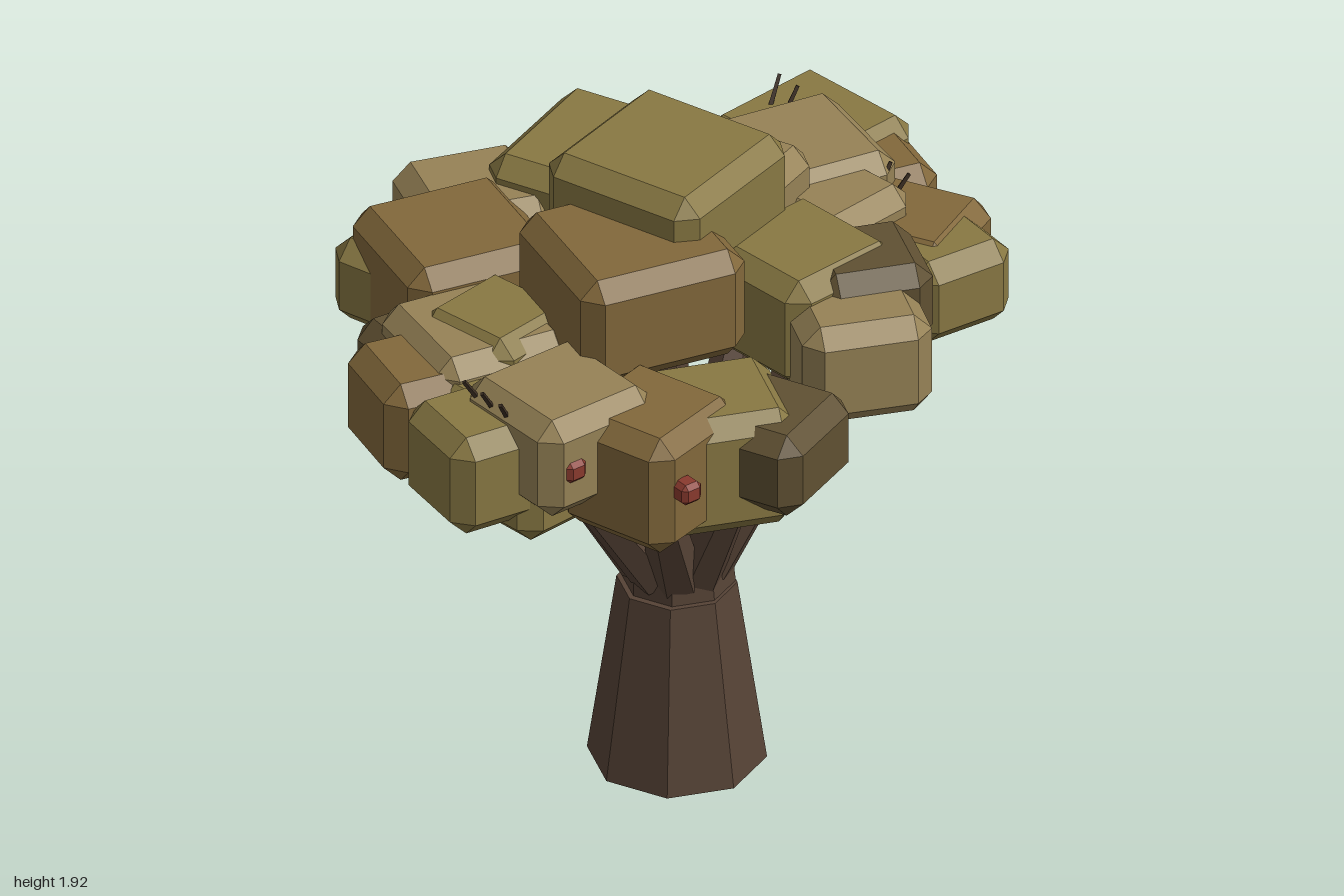
import * as THREE from 'three';
import { ConvexGeometry } from 'three/addons/geometries/ConvexGeometry.js';

const mat = (color) => new THREE.MeshStandardMaterial({ color, flatShading: true });
const BARK = mat(0x564336), TWIG = mat(0x3a2d22), BERRY = mat(0x8a3a2e);
const OLIVE = mat(0x887843), TAN = mat(0x968256), BROWN = mat(0x82683b), DARK = mat(0x5f5032);

// Box of half sizes w, h, d with every edge and corner cut off by c
function chamferedBox(w, h, d, c) {
  const pts = [];
  for (const x of [-1, 1]) for (const y of [-1, 1]) for (const z of [-1, 1]) {
    pts.push(
      new THREE.Vector3(x * w, y * (h - c), z * (d - c)),
      new THREE.Vector3(x * (w - c), y * h, z * (d - c)),
      new THREE.Vector3(x * (w - c), y * (h - c), z * d));
  }
  return new ConvexGeometry(pts);
}

// Tapered limb between two points
function limb(name, a, b, r0, r1, sides, material) {
  const from = new THREE.Vector3(...a), to = new THREE.Vector3(...b);
  const dir = to.clone().sub(from);
  const mesh = new THREE.Mesh(new THREE.CylinderGeometry(r1, r0, dir.length(), sides), material);
  mesh.position.copy(from).add(to).multiplyScalar(0.5);
  mesh.quaternion.setFromUnitVectors(new THREE.Vector3(0, 1, 0), dir.normalize());
  mesh.name = name;
  return mesh;
}

// One tier of square leaf blocks with a shared thickness.
// Each block: material, centre x, centre z, top, half width, turn
function leafTier(name, thickness, blocks) {
  const tier = new THREE.Group();
  tier.name = name;
  for (const [material, x, z, top, half, turn] of blocks) {
    const block = new THREE.Mesh(chamferedBox(half, thickness / 2, half, 0.052), material);
    block.position.set(x, top - thickness / 2, z);
    block.rotation.y = turn;
    block.name = 'leafBlock';
    tier.add(block);
  }
  return tier;
}

export function createModel() {
  const tree = new THREE.Group();
  tree.name = 'tree';

  // Trunk, collar and the thick centre branch
  tree.add(limb('trunk', [-0.005, 0, 0.047], [-0.005, 0.56, 0.047], 0.25, 0.168, 8, BARK));
  tree.add(limb('trunkCollar', [0.004, 0.55, 0.042], [0, 0.66, 0.042], 0.16, 0.152, 8, BARK));
  tree.add(limb('centreBranch', [-0.02, 0.6, 0.03], [-0.05, 1.5, 0], 0.11, 0.075, 6, BARK));

  // Branches fan out from the collar, reaching higher on the left and back
  for (let i = 0; i < 9; i++) {
    const a = (i + 0.25) * Math.PI * 2 / 9;
    const c = Math.cos(a), s = Math.sin(a);
    const tip = [0.56 * c, 1.34 + 0.07 * c - 0.06 * s, 0.43 * s + 0.02];
    tree.add(limb('branch', [0.09 * c, 0.62, 0.09 * s + 0.04], tip, 0.075, 0.038, 6, BARK));
  }

  // Foliage
  tree.add(leafTier('crownLeaves', 0.28, [
    [OLIVE, 0.025, -0.035, 1.92, 0.255, 0.28],
    [TAN, 0.23, -0.08, 1.78, 0.21, 0.35],
  ]));
  tree.add(leafTier('upperLeaves', 0.34, [
    [BROWN, -0.215, 0.11, 1.8, 0.25, -0.24],
    [OLIVE, 0.155, -0.475, 1.67, 0.25, 0.37],
    [BROWN, -0.385, -0.455, 1.62, 0.23, -0.24],
    [TAN, 0.56, -0.13, 1.69, 0.22, -0.2],
    [TAN, 0.51, 0.09, 1.66, 0.17, 0.12],
    [OLIVE, 0.23, 0.3, 1.69, 0.205, 0.08],
  ]));
  tree.add(leafTier('outerLeaves', 0.26, [
    [TAN, -0.18, -0.63, 1.6, 0.19, -0.35],
    [OLIVE, -0.42, -0.6, 1.53, 0.175, 0.25],
    [DARK, 0.3, -0.53, 1.56, 0.17, -0.12],
    [TAN, 0.34, -0.36, 1.62, 0.13, -0.3],
    [OLIVE, 0.75, -0.31, 1.6, 0.22, 0.1],
    [BROWN, 0.79, -0.08, 1.57, 0.15, -0.25],
    [BROWN, 0.68, 0.23, 1.58, 0.18, 0.45],
    [OLIVE, 0.67, 0.36, 1.57, 0.16, -0.08],
    [DARK, 0.35, 0.43, 1.68, 0.165, -0.4],
    [DARK, -0.16, 0.645, 1.48, 0.18, 0.38],
    [OLIVE, -0.53, -0.09, 1.58, 0.17, 0.15],
  ]));
  tree.add(leafTier('sideLeaves', 0.31, [
    [TAN, 0.22, 0.55, 1.63, 0.185, -0.42],
    [TAN, -0.63, 0.31, 1.57, 0.2, 0],
    [OLIVE, -0.83, 0.21, 1.51, 0.165, -0.15],
    [BROWN, -0.79, -0.1, 1.52, 0.17, -0.25],
    [TAN, -0.59, -0.11, 1.56, 0.21, -0.2],
  ]));
  tree.add(leafTier('droopingLeaves', 0.37, [
    [OLIVE, -0.26, 0.54, 1.51, 0.19, -0.4],
    [BROWN, -0.465, 0.5, 1.53, 0.19, 0.25],
    [OLIVE, -0.63, 0.19, 1.5, 0.205, 0.08],
    [DARK, -0.64, -0.24, 1.49, 0.17, -0.1],
  ]));

  // Twigs poke outward in small clusters
  for (const [x, y, z] of [[-0.8, 1.5, 0.24], [0.7, 1.59, -0.36], [0.66, 1.58, 0.1]]) {
    for (let i = -1; i <= 1; i++) {
      const base = [x, y, z + i * 0.06];
      const tip = [x + Math.sign(x) * 0.05, y + 0.08, z + i * 0.08];
      tree.add(limb('twig', base, tip, 0.009, 0.007, 4, TWIG));
    }
  }

  // Berries
  for (const [x, y, z] of [[-0.735, 1.415, 0.49], [-0.52, 1.375, 0.73], [-0.55, 1.38, -0.28]]) {
    const berry = new THREE.Mesh(chamferedBox(0.034, 0.032, 0.034, 0.014), BERRY);
    berry.position.set(x, y, z);
    berry.name = 'berry';
    tree.add(berry);
  }
  return tree;
}
